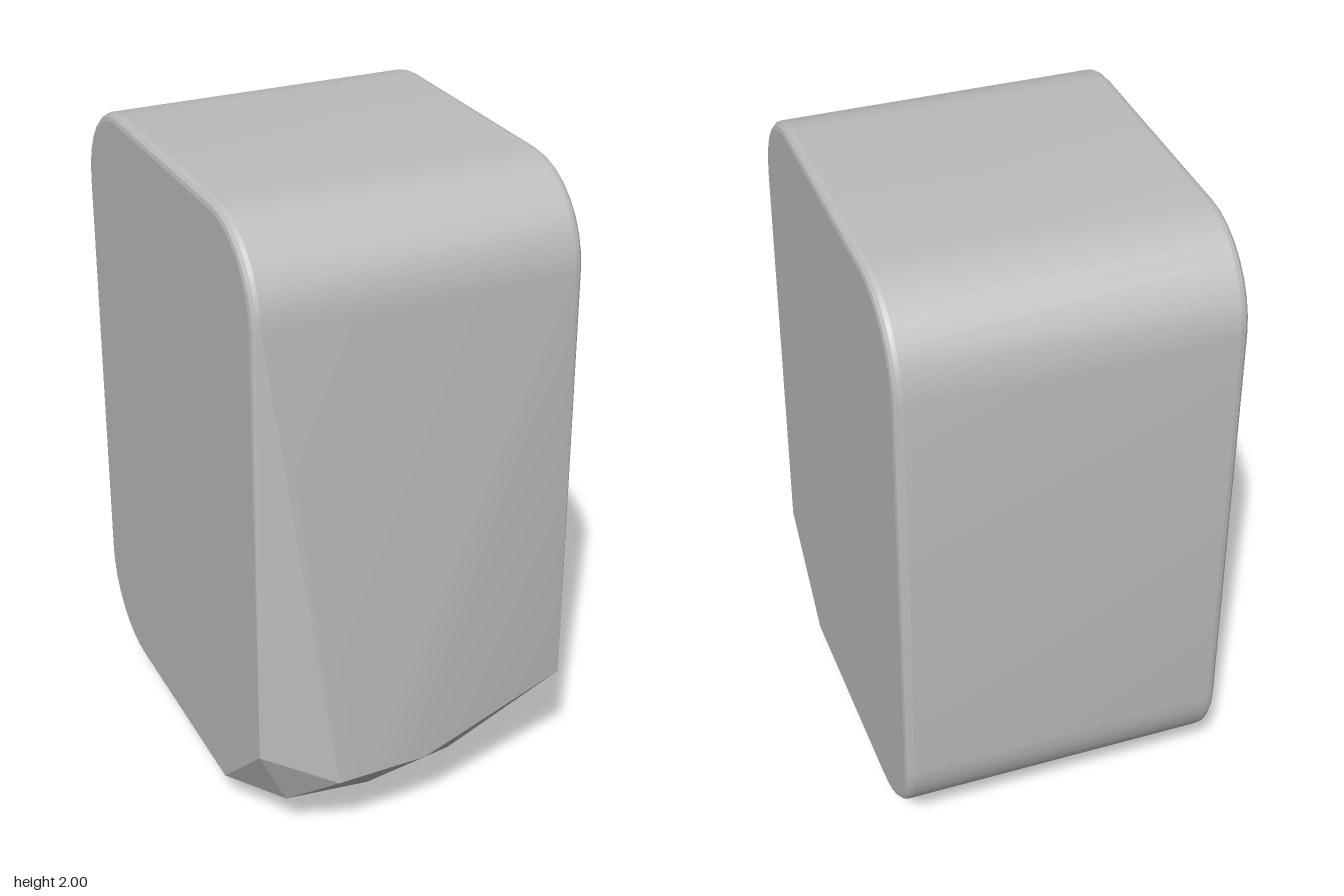
import * as THREE from 'three';
import { ConvexGeometry } from 'three/addons/geometries/ConvexGeometry.js';
import { toCreasedNormals } from 'three/addons/utils/BufferGeometryUtils.js';

export function createModel() {
  const model = new THREE.Group();
  const grey = new THREE.MeshStandardMaterial({ color: 0xbcbcbc });
  grey.name = 'plain grey';

  const points = [];
  const add = (x, y, z) => points.push(new THREE.Vector3(x, y, z));

  // Three rounded corners of the side profile: centre z, centre y, start angle
  const radius = 0.28, bevel = 0.025, steps = 8;
  const corners = [[0.32, 1.72, 0], [-0.41, 1.72, 90], [-0.41, 0.38, 180]];

  // Profile rings, shrinking towards each flat side to round its rim
  for (const side of [-1, 1]) {
    for (const tilt of [0, 30, 60, 90]) {
      const t = THREE.MathUtils.degToRad(tilt);
      const x = side * (0.5 - bevel + bevel * Math.sin(t));
      const r = radius - bevel * (1 - Math.cos(t));
      for (const [cz, cy, start] of corners) {
        for (let i = 0; i <= steps; i++) {
          const a = THREE.MathUtils.degToRad(start + (90 * i) / steps);
          add(x, cy + r * Math.sin(a), cz + r * Math.cos(a));
        }
      }
    }
    // Sharp chamfer at the lower front of each side
    add(side * 0.5, side > 0 ? 0.38 : 0.36, side > 0 ? 0.6 : 0.59);
    add(side * 0.5, 0.1, 0.31);
  }

  // Faceted bulge at the lower front and the lowest tip
  add(-0.29, 0.27, 0.69);
  add(-0.2, 0.272, 0.69);
  add(0, 0.262, 0.675);
  add(0.12, 0.21, 0.6);
  add(-0.4, 0.15, 0.55);
  add(-0.06, 0, 0.41);

  const body = new THREE.Mesh(toCreasedNormals(new ConvexGeometry(points), 0.25), grey);
  body.name = 'roundedBlock';
  model.add(body);
  return model;
}
